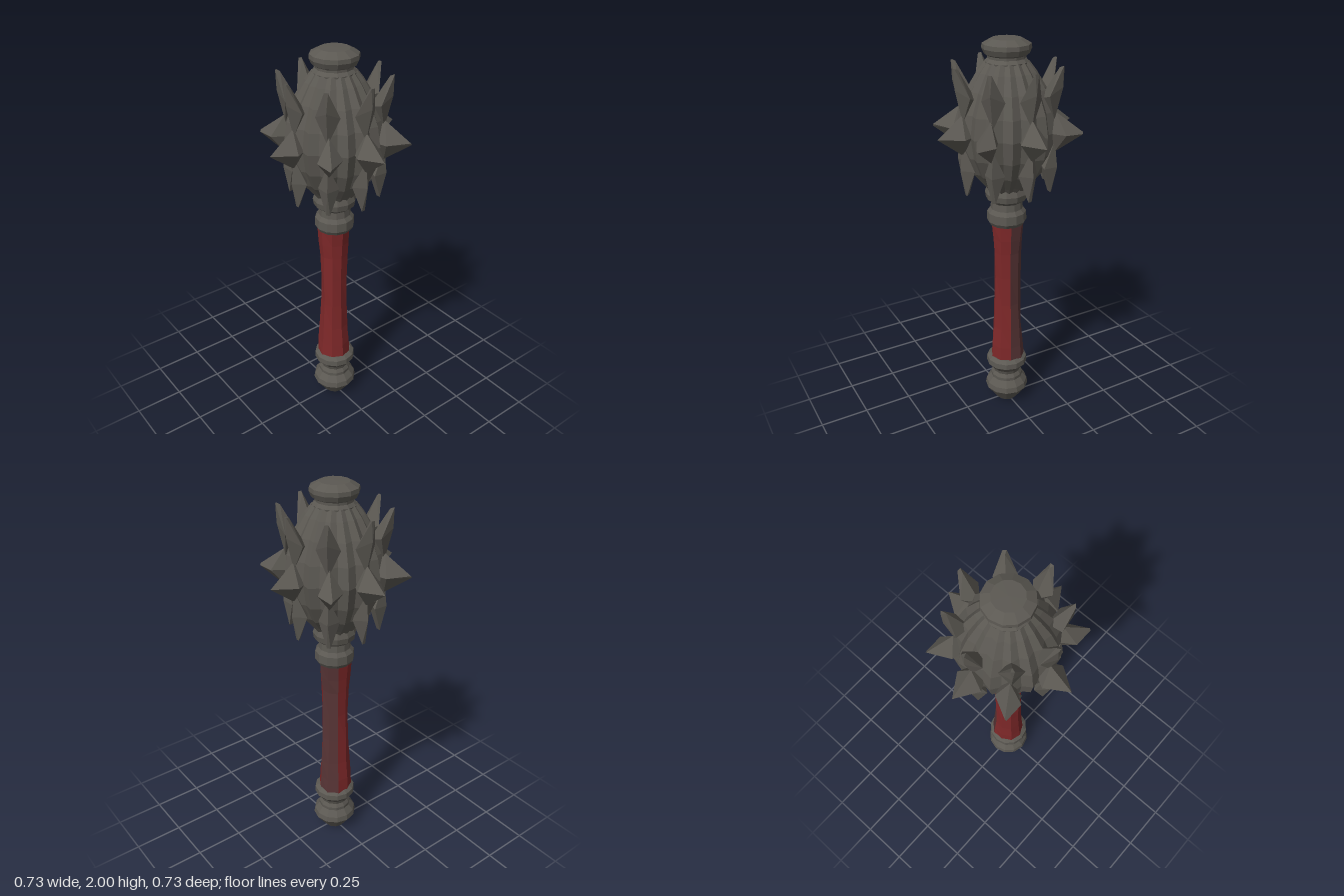
import * as THREE from 'three';
import { ConvexGeometry } from 'three/addons/geometries/ConvexGeometry.js';

// Faceted lathe over an arc in degrees; warp(v) may push vertices before the flat normals are made
function facetedLathe(profile, sides, warp, from = 0, arc = 360) {
  const points = profile.map(([r, y]) => new THREE.Vector2(r, y));
  const rad = THREE.MathUtils.degToRad;
  const indexed = new THREE.LatheGeometry(points, sides, rad(from), rad(arc));
  const pos = indexed.attributes.position;
  const v = new THREE.Vector3();
  if (warp) {
    for (let i = 0; i < pos.count; i++) {
      warp(v.fromBufferAttribute(pos, i));
      pos.setXYZ(i, v.x, v.y, v.z);
    }
  }
  const geo = indexed.toNonIndexed();
  geo.computeVertexNormals();
  return geo;
}

const spikeHull = (points) => new ConvexGeometry(points.map((p) => new THREE.Vector3(...p)));

export function createModel() {
  const material = (name, color) => {
    const mat = new THREE.MeshStandardMaterial({ color });
    mat.name = name;
    return mat;
  };
  const iron = material('dark iron', 0x5b5852);
  const leather = material('red leather', 0x7e2829);
  const wornLeather = material('worn brown leather', 0x573435);

  const mace = new THREE.Group();
  mace.name = 'spikedMace';
  const add = (name, geo, mat, parent = mace) => {
    const mesh = new THREE.Mesh(geo, mat);
    mesh.name = name;
    parent.add(mesh);
    return mesh;
  };

  // Pommel and lower collar
  add('pommel', facetedLathe([
    [0, 0], [0.056, 0], [0.117, 0.085], [0.112, 0.115], [0.086, 0.148], [0.086, 0.165],
    [0.074, 0.185], [0.08, 0.205], [0.11, 0.24], [0.108, 0.27], [0.088, 0.285], [0, 0.285],
  ], 12), iron);

  // Grip, slightly uneven like hand-wrapped hide, with a worn strip along the back
  const gripProfile = [
    [0.09, 0.27], [0.085, 0.36], [0.077, 0.47], [0.071, 0.62], [0.069, 0.78],
    [0.071, 0.92], [0.077, 1.0], [0.084, 1.09],
  ];
  const uneven = (v) => {
    const a = Math.atan2(v.x, v.z);
    const k = 1 + 0.03 * Math.sin(3 * a + 9 * v.y) + 0.02 * Math.sin(2 * a - 23 * v.y);
    v.x = v.x * k - 0.004;
    v.z *= k;
  };
  add('grip', facetedLathe(gripProfile, 7, uneven, 245, 280), leather);
  add('gripWornStrip', facetedLathe(gripProfile, 2, uneven, 165, 80), wornLeather);

  // Upper collar
  add('upperCollar', facetedLathe([
    [0, 1.08], [0.088, 1.08], [0.1, 1.1], [0.098, 1.145], [0.082, 1.165], [0.078, 1.2],
    [0.104, 1.22], [0.109, 1.25], [0.096, 1.285], [0, 1.29],
  ], 12), iron);

  // Fluted head with a ridge behind each column of spikes
  add('head', facetedLathe([
    [0.085, 1.26], [0.115, 1.3], [0.172, 1.37], [0.213, 1.46], [0.231, 1.57],
    [0.216, 1.67], [0.179, 1.77], [0.133, 1.85], [0.1, 1.895], [0, 1.895],
  ], 32, (v) => {
    const flute = 1 + 0.05 * Math.cos(16 * Math.atan2(v.x, v.z));
    v.x *= flute;
    v.z *= flute;
  }), iron);

  // Cap on top
  add('cap', facetedLathe([
    [0.1, 1.87], [0.104, 1.895], [0.09, 1.91], [0.09, 1.922], [0.106, 1.93],
    [0.117, 1.955], [0.115, 1.975], [0.072, 1.998], [0, 2],
  ], 12), iron);

  // Spike shapes, modelled facing +z
  const middleSpike = spikeHull([
    [0, 1.57, 0.363], [-0.07, 1.57, 0.255], [0.07, 1.57, 0.255],
    [0, 1.67, 0.236], [0, 1.475, 0.236], [0, 1.57, 0.12],
  ]);
  const upperSpike = spikeHull([
    [-0.009, 1.885, 0.27], [0.009, 1.885, 0.27], [0, 1.88, 0.25], [0, 1.79, 0.269],
    [-0.056, 1.755, 0.22], [0.056, 1.755, 0.22], [0, 1.63, 0.232], [0, 1.73, 0.16],
  ]);
  const lowerSpike = spikeHull([
    [-0.009, 1.27, 0.224], [0.009, 1.27, 0.224], [0, 1.275, 0.207], [0, 1.4, 0.252],
    [-0.05, 1.4, 0.2], [0.05, 1.4, 0.2], [0, 1.53, 0.237], [0, 1.42, 0.16],
  ]);

  const spikes = new THREE.Group();
  spikes.name = 'spikes';
  mace.add(spikes);

  // Eight columns of upper and lower spikes, with straight middle spikes on every other one
  for (let i = 0; i < 8; i++) {
    const angle = (i * Math.PI) / 4;
    add('upperSpike', upperSpike, iron, spikes).rotation.y = angle;
    add('lowerSpike', lowerSpike, iron, spikes).rotation.y = angle;
    if (i % 2 === 0) add('middleSpike', middleSpike, iron, spikes).rotation.y = angle;
  }

  // Diagonal middle spikes, skewed toward the sides and mirrored into each quarter
  for (const sx of [1, -1]) {
    for (const sz of [1, -1]) {
      add('diagonalSpike', spikeHull([
        [0.282, 1.575, 0.23], [0.28, 1.565, 0.237], [0.185, 1.57, 0.238], [0.228, 1.57, 0.125],
        [0.172, 1.67, 0.162], [0.172, 1.475, 0.162], [0.085, 1.57, 0.085],
      ].map(([x, y, z]) => [sx * x, y, sz * z])), iron, spikes);
    }
  }
  return mace;
}
